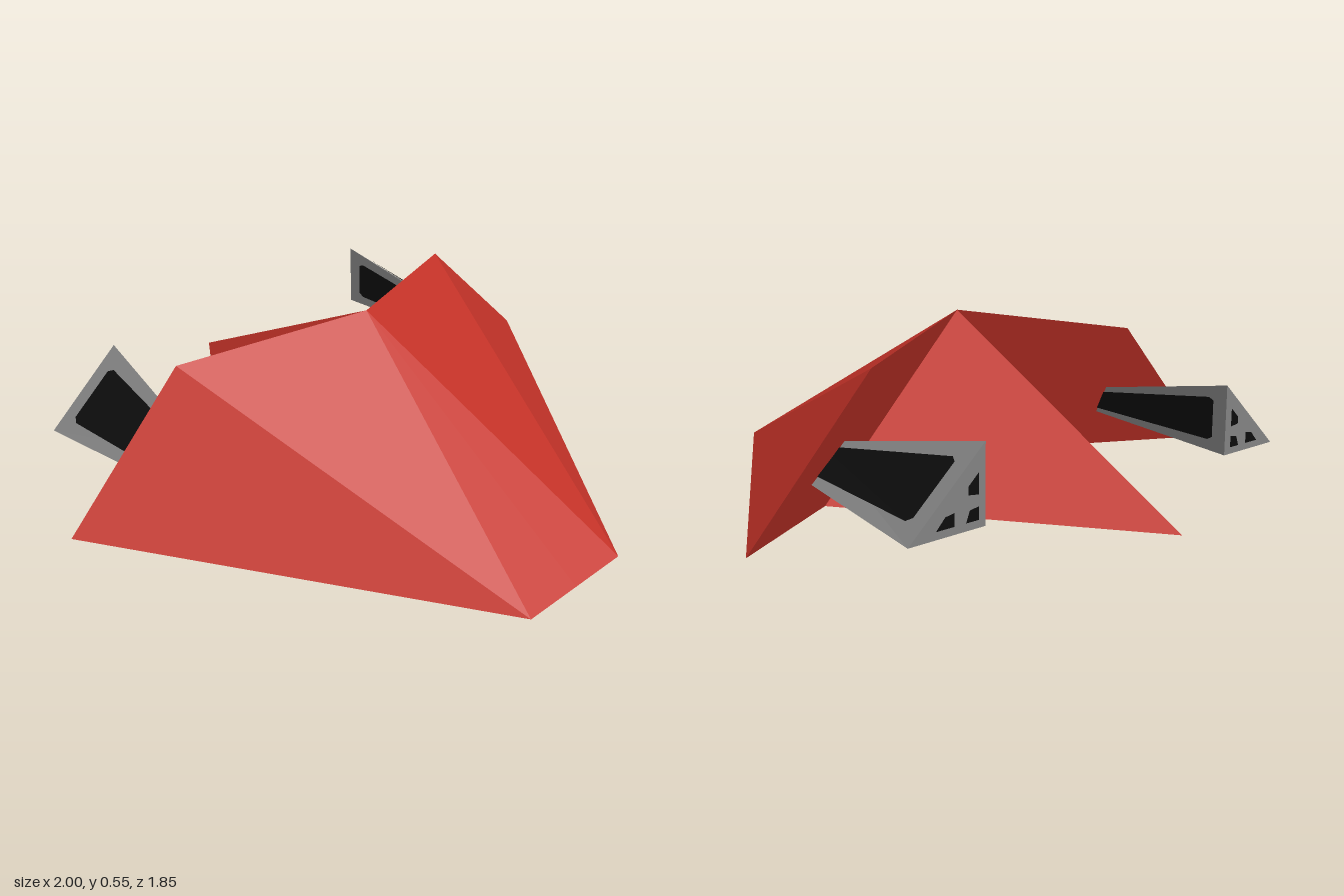
import * as THREE from 'three';

const v = (x, y, z) => new THREE.Vector3(x, y, z);

// Flat-faced mesh from convex polygons; side = -1 mirrors across x
function facets(name, polygons, material, side = 1) {
  const pos = [];
  for (const poly of polygons) {
    for (let i = 1; i < poly.length - 1; i++) {
      const tri = [poly[0], poly[i], poly[i + 1]];
      if (side < 0) tri.reverse();
      for (const p of tri) pos.push(p.x * side, p.y, p.z);
    }
  }
  const geo = new THREE.BufferGeometry();
  geo.setAttribute('position', new THREE.Float32BufferAttribute(pos, 3));
  geo.computeVertexNormals();
  const mesh = new THREE.Mesh(geo, material);
  mesh.name = name;
  return mesh;
}

export function createModel() {
  const red = new THREE.MeshStandardMaterial({ color: 0xc43228 });
  red.name = 'hullRed';
  const grey = new THREE.MeshStandardMaterial({ color: 0x828282 });
  grey.name = 'engineGrey';
  const black = new THREE.MeshStandardMaterial({ color: 0x0c0c0c, side: THREE.DoubleSide });
  black.name = 'panelBlack';

  const model = new THREE.Group();
  model.name = 'wedgeShip';

  // Hull corners on the left half
  const apex = v(0, 0.545, 0), shoulder = v(0.565, 0.455, -0.255);
  const wingTip = v(1, 0, -0.26), nose = v(0.2, 0, 0.927), noseMid = v(0, 0, 0.927);
  const notch = v(0.568, 0, -0.025), tail = v(0, 0, -0.927);
  const hull = [
    [apex, noseMid, nose], [apex, nose, shoulder], [shoulder, nose, wingTip], // top
    [shoulder, wingTip, notch], [apex, shoulder, notch], [apex, notch, tail], // rear
    [wingTip, nose, noseMid], [notch, wingTip, noseMid], [tail, notch, noseMid], // underside
  ];

  // Engine: tapered right-angled triangle section (inner bottom, inner top, outer bottom)
  const front = [v(0.593, 0.137, -0.05), v(0.593, 0.212, -0.05), v(0.702, 0.137, -0.05)];
  const rear = [v(0.537, 0.09, -0.69), v(0.537, 0.32, -0.69), v(0.804, 0.09, -0.69)];
  const edges = [[2, 0], [0, 1], [1, 2]];
  const engine = edges.map(([a, b]) => [front[a], front[b], rear[b], rear[a]]);
  engine.push(rear, [...front].reverse());

  // Inset panels with clipped rear corners, one per engine side
  const panelShape = [[0.17, 0.05], [0.83, 0.05], [0.83, 0.89], [0.78, 0.92], [0.22, 0.92], [0.17, 0.89]];
  const panels = edges.map(([a, b]) => {
    const normal = rear[b].clone().sub(rear[a]).cross(rear[a].clone().sub(front[a])).normalize();
    return panelShape.map(([s, t]) => front[a].clone().lerp(front[b], s)
      .lerp(rear[a].clone().lerp(rear[b], s), t).addScaledVector(normal, 0.003));
  });

  // Small exhaust openings on the rear cap
  const openings = [
    [[0.1, 0.66], [0.1, 0.4], [0.24, 0.42], [0.24, 0.52]],
    [[0.1, 0.1], [0.1, 0.26], [0.22, 0.24], [0.27, 0.1]],
    [[0.42, 0.1], [0.66, 0.1], [0.54, 0.24], [0.42, 0.26]],
  ].map(poly => poly.map(([u, w]) => v(0.537 + 0.267 * u, 0.09 + 0.23 * w, -0.693)));

  for (const side of [1, -1]) {
    const label = side > 0 ? 'left' : 'right';
    model.add(facets(label + 'Hull', hull, red, side));
    const group = new THREE.Group();
    group.name = label + 'Engine';
    group.add(
      facets('engineCasing', engine, grey, side),
      facets('enginePanels', panels, black, side),
      facets('exhaustOpenings', openings, black, side),
    );
    model.add(group);
  }
  return model;
}
